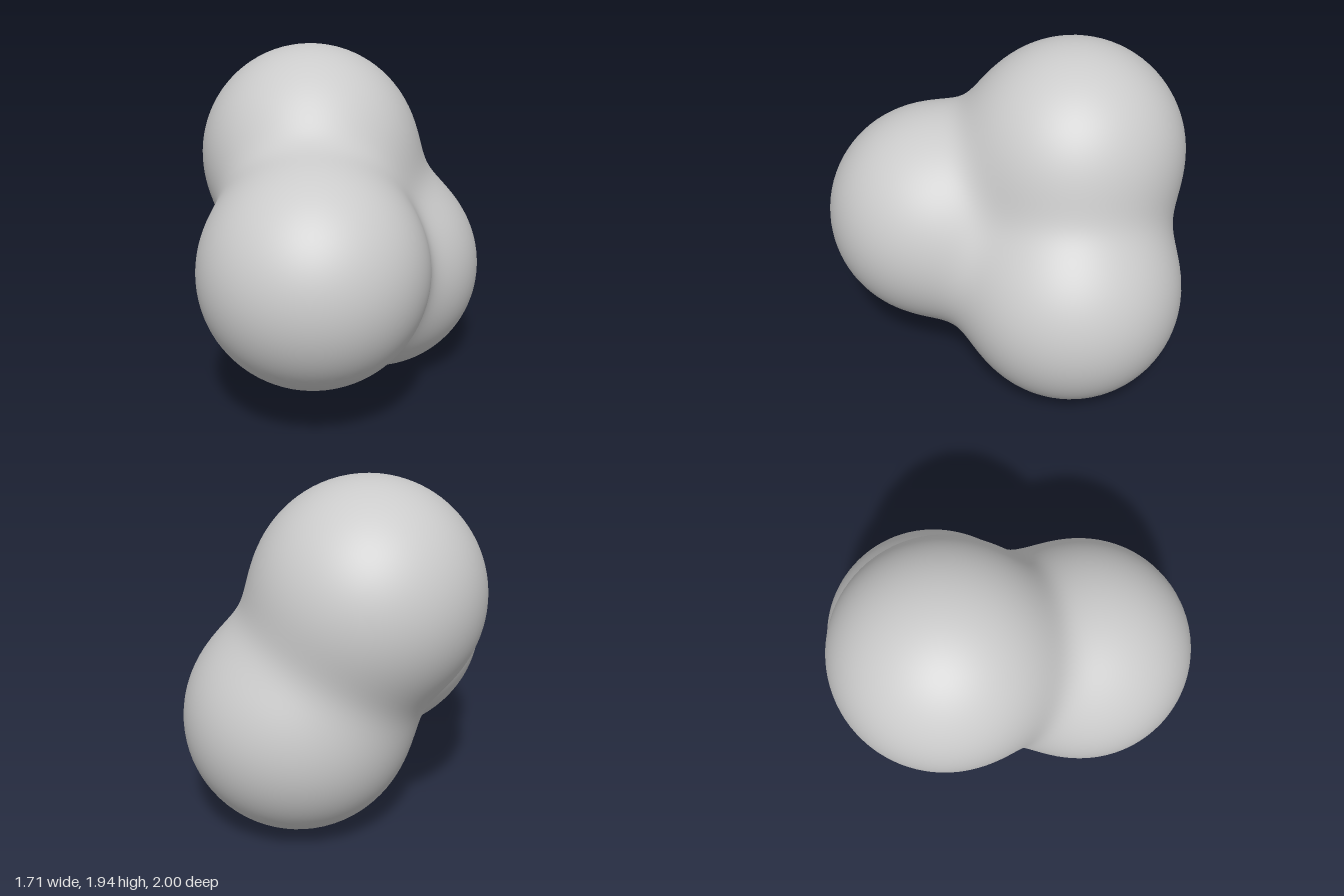
import * as THREE from 'three';
import { mergeVertices } from 'three/addons/utils/BufferGeometryUtils.js';

// Three equal balls melted into one blob
const RADIUS = 0.62;
const SHARPNESS = 10; // higher = tighter necks between the balls
const balls = [
  new THREE.Vector3(-0.14, 1.32, -0.38), // top
  new THREE.Vector3(-0.24, 0.87, 0.38),  // front
  new THREE.Vector3(0.23, 0.62, -0.35),  // lower left
];

// Smooth union of the balls: above 1 inside, below 1 outside
function field(p) {
  return balls.reduce((sum, c) => sum + Math.exp(-SHARPNESS * (p.distanceTo(c) - RADIUS)), 0);
}

// Distance from the core to the skin along a direction, by bisection
function skinPoint(core, dir) {
  const p = new THREE.Vector3();
  let near = 0, far = 2;
  for (let i = 0; i < 24; i++) {
    const mid = (near + far) / 2;
    if (field(p.copy(core).addScaledVector(dir, mid)) > 1) near = mid;
    else far = mid;
  }
  return p.copy(core).addScaledVector(dir, near);
}

export function createModel() {
  const group = new THREE.Group();
  group.name = 'meltedBalls';

  // Every point of a fine sphere is pushed out from the core to the skin
  const core = new THREE.Vector3();
  balls.forEach((c) => core.addScaledVector(c, 1 / balls.length));
  let geometry = new THREE.IcosahedronGeometry(1, 24);
  geometry.deleteAttribute('normal');
  geometry.deleteAttribute('uv');
  geometry = mergeVertices(geometry, 1e-4);
  const pos = geometry.attributes.position;
  const dir = new THREE.Vector3();
  for (let i = 0; i < pos.count; i++) {
    const p = skinPoint(core, dir.fromBufferAttribute(pos, i).normalize());
    pos.setXYZ(i, p.x, p.y, p.z);
  }
  geometry.computeVertexNormals();

  const blob = new THREE.Mesh(geometry, new THREE.MeshStandardMaterial({ color: 0xcccccc }));
  blob.name = 'blob';
  group.add(blob);
  return group;
}
